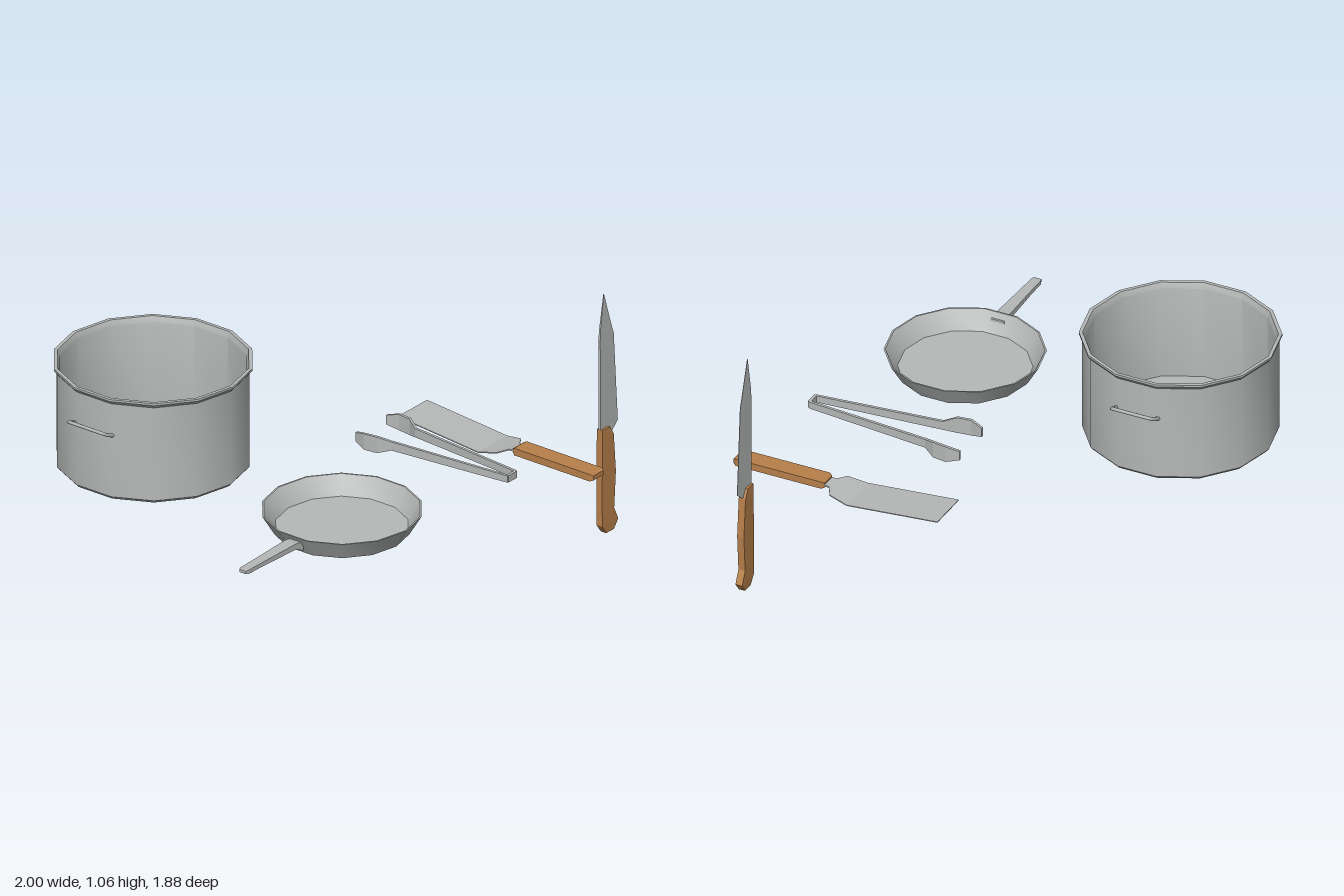
import * as THREE from 'three';
import { toCreasedNormals } from 'three/addons/utils/BufferGeometryUtils.js';

const steel = new THREE.MeshStandardMaterial({ color: 0xb6b9b8 });
steel.name = 'steel';
const wood = new THREE.MeshStandardMaterial({ color: 0xb8804a });
wood.name = 'wood';

function part(name, geometry, material, parent) {
  const mesh = new THREE.Mesh(geometry, material);
  mesh.name = name;
  parent.add(mesh);
  return mesh;
}

function group(name, parent) {
  const g = new THREE.Group();
  g.name = name;
  parent.add(g);
  return g;
}

// Faceted solid through four-cornered cross-sections, closed at both ends
function loft(rings) {
  const tris = [];
  const quad = (a, b, c, d) => tris.push([a, b, c], [a, c, d]);
  for (let i = 0; i < rings.length - 1; i++) {
    for (let j = 0; j < 4; j++) {
      const k = (j + 1) % 4;
      quad(rings[i][j], rings[i][k], rings[i + 1][k], rings[i + 1][j]);
    }
  }
  quad(...[...rings[0]].reverse());
  quad(...rings[rings.length - 1]);
  // Turn the faces outward whichever way the sections run
  const o = new THREE.Vector3(...rings[0][0]);
  let volume = 0;
  for (const t of tris) {
    const [a, b, c] = t.map((p) => new THREE.Vector3(...p).sub(o));
    volume += a.dot(b.cross(c));
  }
  if (volume < 0) tris.forEach((t) => t.reverse());
  const g = new THREE.BufferGeometry();
  g.setAttribute('position', new THREE.Float32BufferAttribute(tris.flat(2), 3));
  g.computeVertexNormals();
  return g;
}

// Rectangular sections along each axis
const alongZ = (cx, rows) => loft(rows.map(([z, w, y0, y1]) =>
  [[cx - w, y0, z], [cx + w, y0, z], [cx + w, y1, z], [cx - w, y1, z]]));
const alongX = (cz, rows) => loft(rows.map(([x, w, y0, y1]) =>
  [[x, y0, cz - w], [x, y0, cz + w], [x, y1, cz + w], [x, y1, cz - w]]));
// Knife sections: y, left x, right x, half depth at left, half depth at right
const alongY = (cz, rows) => loft(rows.map(([y, x0, x1, d0, d1]) =>
  [[x0, y, cz - d0], [x1, y, cz - d1], [x1, y, cz + d1], [x0, y, cz + d0]]));

// Fourteen-sided vessel, smooth around and sharp at the rims
function vessel(profile) {
  const points = profile.map(([r, y]) => new THREE.Vector2(r, y));
  return toCreasedNormals(new THREE.LatheGeometry(points, 14), 0.55);
}

function buildPot(root) {
  const pot = group('pot', root);
  pot.position.set(-0.337, 0, -0.537);
  part('potBody', vessel([
    [0, 0.405], [0.382, 0.405], [0.393, 0.418], [0.393, 0.83], [0.405, 0.845],
    [0.405, 0.854], [0.39, 0.854], [0.381, 0.83], [0.381, 0.42], [0, 0.42],
  ]), steel, pot);
  // Two bent loop handles
  const path = new THREE.CatmullRomCurve3([
    [0.38, 0.69, 0.093], [0.415, 0.705, 0.093], [0.433, 0.716, 0.086],
    [0.44, 0.72, 0.068], [0.44, 0.72, -0.068], [0.433, 0.716, -0.086],
    [0.415, 0.705, -0.093], [0.38, 0.69, -0.093],
  ].map((p) => new THREE.Vector3(...p)), false, 'catmullrom', 0.2);
  const loop = new THREE.TubeGeometry(path, 28, 0.008, 6);
  part('potHandleLeft', loop, steel, pot);
  part('potHandleRight', loop, steel, pot).rotation.y = Math.PI;
}

function buildPan(root) {
  const pan = group('fryingPan', root);
  const body = part('panBody', vessel([
    [0, 0.408], [0.275, 0.408], [0.325, 0.492], [0.318, 0.492],
    [0.27, 0.415], [0, 0.415],
  ]), steel, pan);
  body.position.set(-0.356, 0, 0.433);
  part('panHandle', alongX(0.436, [
    [-1.0, 0.016, 0.457, 0.469], [-0.985, 0.021, 0.454, 0.471],
    [-0.9, 0.022, 0.454, 0.472], [-0.69, 0.028, 0.45, 0.475],
    [-0.645, 0.03, 0.428, 0.468],
  ]), steel, pan);
}

function buildTongs(root) {
  const tongs = group('tongs', root);
  // Rows: z, distance from the middle, half height
  const arm = [
    [0.797, 0.024, 0.015], [0.785, 0.027, 0.015], [0.25, 0.076, 0.019],
    [0.2, 0.104, 0.035], [0.14, 0.112, 0.035], [0.086, 0.098, 0.02],
  ];
  for (const side of [-1, 1]) {
    part(side > 0 ? 'tongArmLeft' : 'tongArmRight', loft(arm.map(([z, d, h]) => {
      const a = 0.277 + side * (d - 0.006);
      const b = 0.277 + side * (d + 0.006);
      return [[a, 0.5 - h, z], [b, 0.5 - h, z], [b, 0.5 + h, z], [a, 0.5 + h, z]];
    })), steel, tongs);
  }
  part('tongBridge', alongZ(0.277, [
    [0.787, 0.028, 0.485, 0.515], [0.8, 0.026, 0.485, 0.515],
  ]), steel, tongs);
}

function buildSpatula(root) {
  const spatula = group('spatula', root);
  part('spatulaBlade', alongZ(0.65, [
    [0, 0.094, 0.413, 0.417], [0.405, 0.094, 0.378, 0.382],
    [0.487, 0.08, 0.394, 0.399], [0.515, 0.034, 0.399, 0.405],
    [0.55, 0.034, 0.401, 0.409],
  ]), steel, spatula);
  part('spatulaHandle', alongZ(0.65, [
    [0.534, 0.032, 0.394, 0.414], [0.546, 0.04, 0.389, 0.42],
    [0.928, 0.04, 0.389, 0.42], [0.94, 0.032, 0.394, 0.414],
  ]), wood, spatula);
}

function buildKnife(root) {
  const knife = group('knife', root);
  part('knifeBlade', alongY(0.765, [
    [0.425, 0.9, 0.95, 0.005, 0.003], [0.465, 0.88, 0.997, 0.005, 0.001],
    [0.858, 0.88, 0.971, 0.004, 0.001], [0.896, 0.881, 0.958, 0.004, 0.001],
    [1.056, 0.906, 0.908, 0.001, 0.001],
  ]), steel, knife);
  part('knifeHandle', alongY(0.765, [
    [0, 0.906, 0.955, 0.014, 0.014], [0.037, 0.88, 0.982, 0.015, 0.015],
    [0.094, 0.879, 0.956, 0.015, 0.015], [0.254, 0.879, 0.967, 0.015, 0.015],
    [0.425, 0.882, 0.953, 0.015, 0.015], [0.463, 0.882, 0.93, 0.014, 0.014],
  ]), wood, knife);
}

export function createModel() {
  const root = new THREE.Group();
  root.name = 'kitchenUtensils';
  buildPot(root);
  buildPan(root);
  buildTongs(root);
  buildSpatula(root);
  buildKnife(root);
  return root;
}
